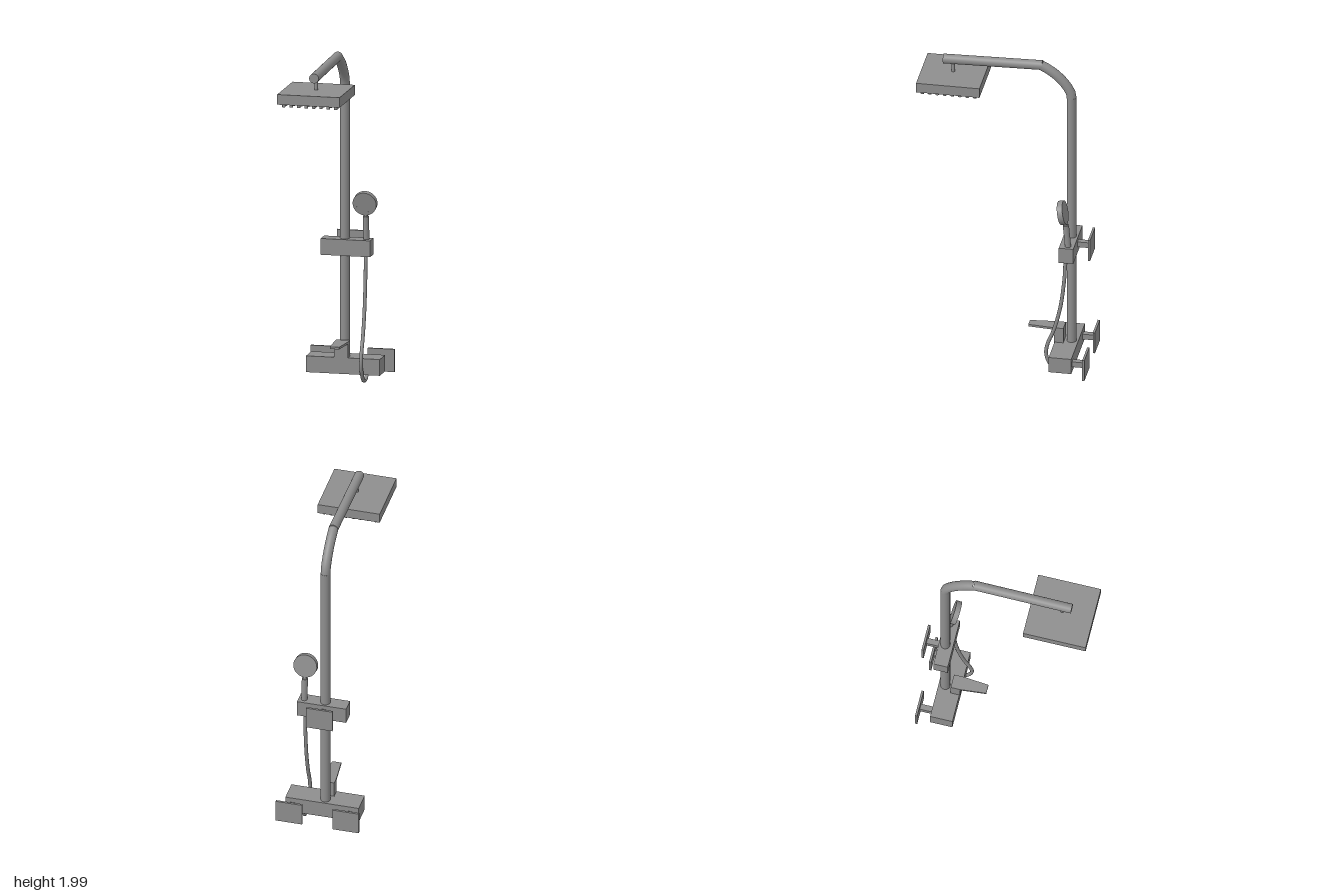
import * as THREE from 'three';

const V = (x, y, z) => new THREE.Vector3(x, y, z);

export function createModel() {
  const model = new THREE.Group();
  const mat = new THREE.MeshStandardMaterial({ color: 0x8e8e8e });

  const add = (name, geo, parent = model) => {
    const m = new THREE.Mesh(geo, mat);
    m.name = name;
    parent.add(m);
    return m;
  };
  // Box given by its minimum and maximum corners
  const box = (name, x0, x1, y0, y1, z0, z1) => {
    const m = add(name, new THREE.BoxGeometry(x1 - x0, y1 - y0, z1 - z0));
    m.position.set((x0 + x1) / 2, (y0 + y1) / 2, (z0 + z1) / 2);
  };
  // Cylinder or cone running from point a to point b
  const rod = (name, a, b, ra, rb = ra, sides = 24, parent = model) => {
    const d = b.clone().sub(a);
    const m = add(name, new THREE.CylinderGeometry(rb, ra, d.length(), sides), parent);
    m.position.copy(a).addScaledVector(d, 0.5);
    m.quaternion.setFromUnitVectors(V(0, 1, 0), d.normalize());
  };

  const px = -0.017, pz = -0.382, pr = 0.0285;

  // Riser pipe: upright, flattened bend, and slightly drooping arm
  rod('riserPipe', V(px, 0.15, pz), V(px, 1.775, pz), pr);
  const bend = [
    [1.77, pz], [1.8, -0.378], [1.848, -0.352], [1.902, -0.305], [1.944, -0.25], [1.971, -0.2],
  ].map(([y, z]) => V(px, y, z));
  add('pipeBend', new THREE.TubeGeometry(new THREE.CatmullRomCurve3(bend), 8, pr, 24));
  rod('showerArm', V(px, 1.9715, -0.21), V(px, 1.958, 0.378), pr);

  // Overhead rain shower with its nozzle grid
  rod('headStem', V(px, 1.87, 0.32), V(px, 1.95, 0.32), 0.01);
  box('rainHead', -0.206, 0.169, 1.82, 1.88, 0.131, 0.507);
  const nozzles = new THREE.Group();
  nozzles.name = 'nozzles';
  model.add(nozzles);
  for (let i = 0; i < 8; i++) {
    for (let j = 0; j < 8; j++) {
      const x = px + (i - 3.5) * 0.0445, z = 0.319 + (j - 3.5) * 0.0445;
      rod('nozzle', V(x, 1.801, z), V(x, 1.825, z), 0.0105, 0.0105, 12, nozzles);
    }
  }

  // Slider bracket and mixer valve body
  box('sliderBracket', -0.152, 0.145, 0.756, 0.853, -0.421, -0.335);
  box('valveBody', -0.228, 0.215, 0.062, 0.159, -0.422, -0.288);

  // Wall mounts: square plate on a short square post
  for (const [x, y] of [[-0.171, 0.112], [0.172, 0.112], [-0.012, 0.811]]) {
    box('mountPost', x - 0.017, x + 0.017, y - 0.017, y + 0.017, -0.5, -0.41);
    box('wallPlate', x - 0.08, x + 0.08, y - 0.068, y + 0.068, -0.507, -0.494);
  }

  // Mixer lever: block with a tapering flat blade
  box('leverBlock', px - 0.041, px + 0.041, 0.15, 0.247, -0.34, -0.284);
  const blade = new THREE.Shape([
    [-0.041, 0.34], [0.041, 0.34], [0.041, 0.287], [0.027, 0.13], [-0.027, 0.13], [-0.041, 0.287],
  ].map(([x, y]) => new THREE.Vector2(x, y)));
  const lever = add('leverBlade', new THREE.ExtrudeGeometry(blade, { depth: 0.013, bevelEnabled: false }));
  lever.rotation.x = -Math.PI / 2;
  lever.position.set(px, 0.241, 0);

  // Hand shower: grip, neck, tilted disc head and spray holes
  const hx = 0.111;
  rod('handGrip', V(hx, 0.77, -0.392), V(hx, 0.992, -0.371), 0.018);
  rod('handNeck', V(hx, 0.985, -0.372), V(hx, 1.03, -0.364), 0.012);
  const head = new THREE.Group();
  head.name = 'handHead';
  head.position.set(hx, 1.073, -0.352);
  head.rotation.x = Math.PI / 2 + 0.21;
  model.add(head);
  add('headDisc', new THREE.CylinderGeometry(0.071, 0.071, 0.032, 32), head);
  for (let i = 0; i < 16; i++) {
    const a = (i / 16) * Math.PI * 2;
    const x = 0.053 * Math.cos(a), z = 0.053 * Math.sin(a);
    rod('sprayHole', V(x, 0.01, z), V(x, 0.017, z), 0.003, 0.003, 8, head);
  }

  // Hose hanging from the grip and looping up into the valve
  const hose = [
    [0.78, -0.385], [0.75, -0.371], [0.63, -0.362], [0.44, -0.338], [0.28, -0.297], [0.2, -0.265],
    [0.13, -0.253], [0.07, -0.272], [0.025, -0.31], [0.017, -0.35], [0.035, -0.392], [0.08, -0.403],
  ].map(([y, z]) => V(hx, y, z));
  add('hose', new THREE.TubeGeometry(new THREE.CatmullRomCurve3(hose), 28, 0.011, 12));

  return model;
}
